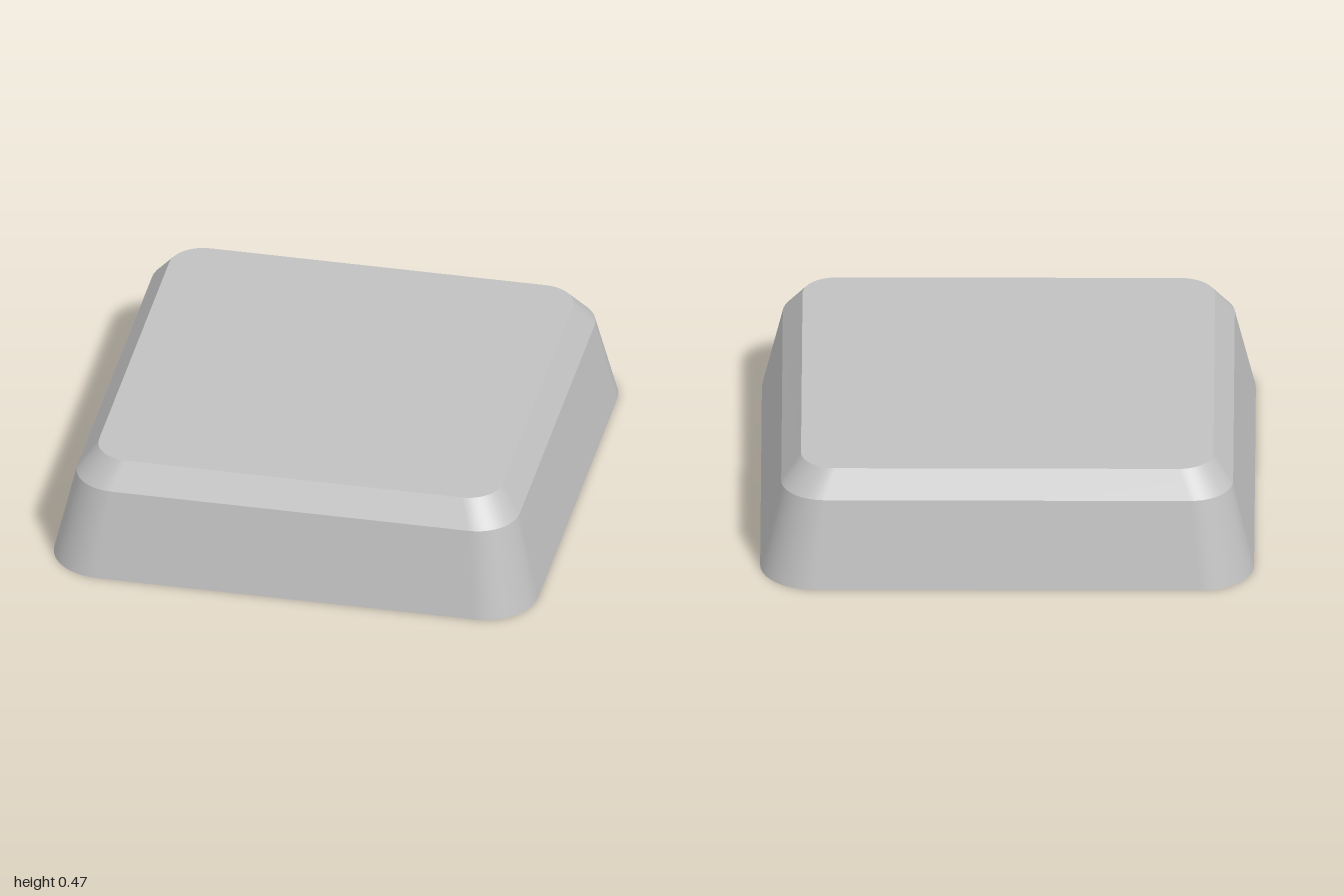
import * as THREE from 'three';

const CORNER_STEPS = 10;

// Closed rounded-square outline at height y
function ring({ y, half, radius }) {
  const points = [];
  for (let corner = 0; corner < 4; corner++) {
    const mid = (corner + 0.5) * Math.PI / 2;
    const cx = Math.sign(Math.cos(mid)) * (half - radius);
    const cz = Math.sign(Math.sin(mid)) * (half - radius);
    for (let s = 0; s <= CORNER_STEPS; s++) {
      const a = (corner + s / CORNER_STEPS) * Math.PI / 2;
      points.push(cx + radius * Math.cos(a), y, cz + radius * Math.sin(a));
    }
  }
  return points;
}

function toGeometry(positions, index) {
  const geometry = new THREE.BufferGeometry();
  geometry.setAttribute('position', new THREE.Float32BufferAttribute(positions, 3));
  geometry.setIndex(index);
  geometry.computeVertexNormals();
  return geometry;
}

// Wall between two outlines, smooth around the corners
function band(lower, upper) {
  const low = ring(lower), n = low.length / 3, index = [];
  for (let i = 0; i < n; i++) {
    const j = (i + 1) % n;
    index.push(i, n + i, j, n + i, n + j, j);
  }
  return toGeometry([...low, ...ring(upper)], index);
}

// Flat fan closing an outline, facing up
function cap(level) {
  const edge = ring(level), n = edge.length / 3, index = [];
  for (let i = 0; i < n; i++) index.push(n, (i + 1) % n, i);
  return toGeometry([...edge, 0, level.y, 0], index);
}

export function createModel() {
  const group = new THREE.Group();
  const gray = new THREE.MeshStandardMaterial({ color: 0xc0c0c0, side: THREE.DoubleSide });
  gray.name = 'light gray';

  const base = { y: 0, half: 1, radius: 0.22 };
  const shoulder = { y: 0.365, half: 0.915, radius: 0.175 };
  const top = { y: 0.47, half: 0.835, radius: 0.14 };

  // Hollow shell, open underneath
  const parts = {
    slopedWall: band(base, shoulder),
    bevel: band(shoulder, top),
    topPanel: cap(top),
  };
  for (const [name, geometry] of Object.entries(parts)) {
    const mesh = new THREE.Mesh(geometry, gray);
    mesh.name = name;
    group.add(mesh);
  }
  return group;
}
